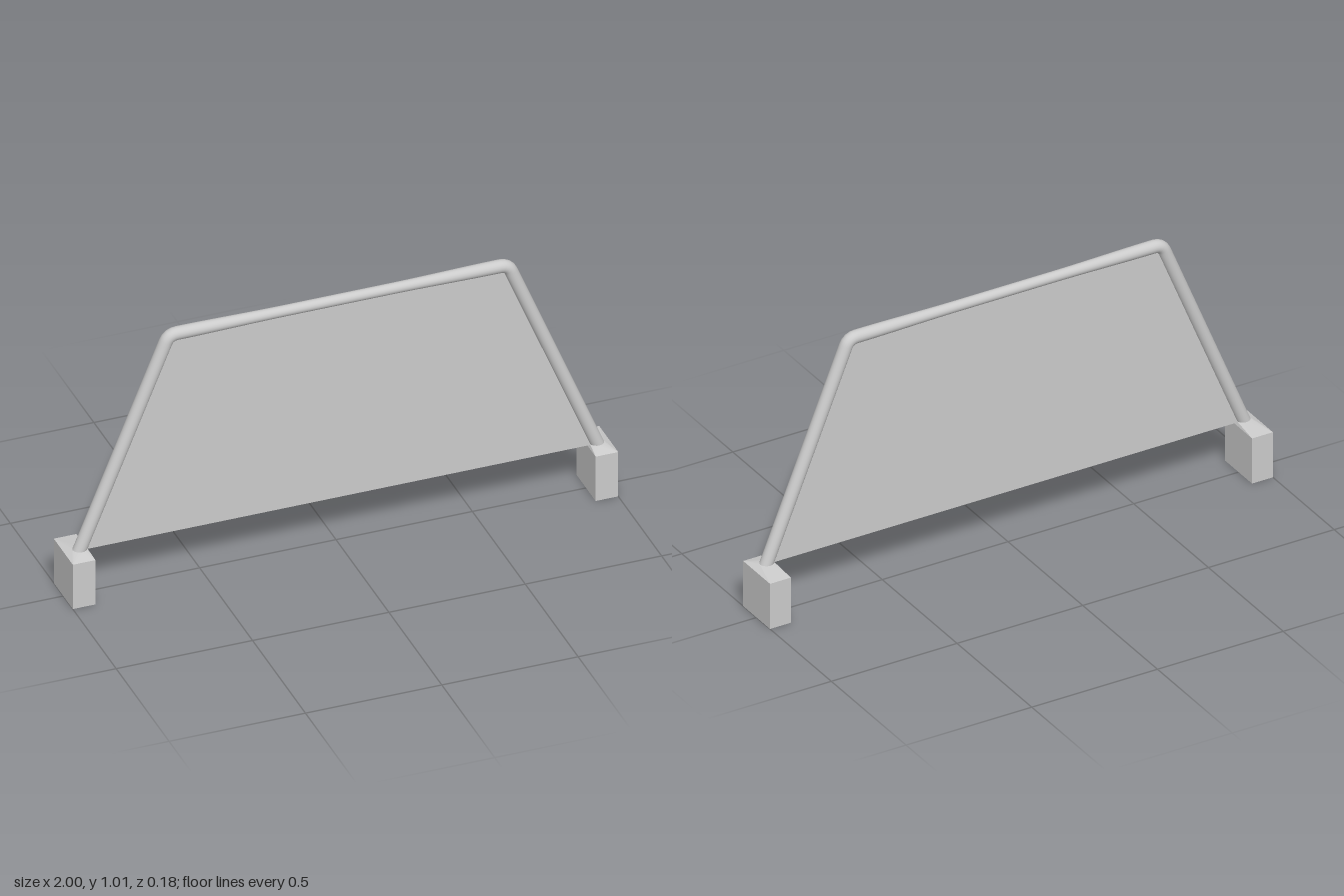
import * as THREE from 'three';
import { ConvexGeometry } from 'three/addons/geometries/ConvexGeometry.js';

const Z = 0.021; // plane of the frame and panel
const TOP = 0.982, CORNER = 0.622, FOOT = 0.952, BASE = 0.18;

const material = (opts = {}) => new THREE.MeshStandardMaterial({ color: 0xcccccc, ...opts });

function addMesh(group, name, geometry, mat) {
  const mesh = new THREE.Mesh(geometry, mat);
  mesh.name = name;
  group.add(mesh);
  return mesh;
}

// Bent tube: two sloping legs and a top bar joined by tight bends
function frameGeometry() {
  const v = (x, y) => new THREE.Vector3(x, y, Z);
  const dx = FOOT - CORNER, dy = TOP - BASE, len = Math.hypot(dx, dy), bend = 0.03;
  const legEnd = s => v(s * (CORNER + (dx / len) * bend), TOP - (dy / len) * bend);
  const barEnd = s => v(s * (CORNER - bend), TOP);
  const path = new THREE.CurvePath();
  path.add(new THREE.LineCurve3(v(-FOOT, BASE), legEnd(-1)));
  path.add(new THREE.QuadraticBezierCurve3(legEnd(-1), v(-CORNER, TOP), barEnd(-1)));
  path.add(new THREE.LineCurve3(barEnd(-1), barEnd(1)));
  path.add(new THREE.QuadraticBezierCurve3(barEnd(1), v(CORNER, TOP), legEnd(1)));
  path.add(new THREE.LineCurve3(legEnd(1), v(FOOT, BASE)));
  const geometry = new THREE.TubeGeometry(path, 240, 0.024, 20);

  // The bar is slightly slimmer toward its middle
  const p = geometry.attributes.position;
  for (let i = 0; i < p.count; i++) {
    const x = Math.abs(p.getX(i));
    if (x > 0.59 || p.getY(i) < 0.9) continue;
    const k = 1 - 0.18 * THREE.MathUtils.smoothstep(0.59 - x, 0, 0.4);
    p.setY(i, TOP + (p.getY(i) - TOP) * k);
    p.setZ(i, Z + (p.getZ(i) - Z) * k);
  }
  return geometry;
}

// Foot block whose top rises gently to a small collar round the leg
function footGeometry(side) {
  const points = [];
  for (const x of [0.917, 1])
    for (const z of [-0.09, 0.09])
      for (const y of [0, 0.179]) points.push(new THREE.Vector3(side * x, y, z));
  for (let i = 0; i < 12; i++) {
    const a = (i / 12) * Math.PI * 2;
    points.push(new THREE.Vector3(
      side * (FOOT - 0.004 + 0.026 * Math.cos(a)), 0.191, Z + 0.024 * Math.sin(a)));
  }
  return new ConvexGeometry(points);
}

// Thin sheet filling the frame
function panelGeometry() {
  const shape = new THREE.Shape();
  shape.moveTo(-FOOT + 0.004, 0.187);
  shape.lineTo(FOOT - 0.004, 0.187);
  shape.lineTo(CORNER, TOP);
  shape.lineTo(-CORNER, TOP);
  shape.closePath();
  const depth = 0.008;
  return new THREE.ExtrudeGeometry(shape, { depth, bevelEnabled: false })
    .translate(0, 0, Z - depth / 2);
}

export function createModel() {
  const group = new THREE.Group();
  group.name = 'barrier';
  addMesh(group, 'tubeFrame', frameGeometry(), material());
  addMesh(group, 'panel', panelGeometry(), material());
  for (const [name, side] of [['leftFoot', 1], ['rightFoot', -1]])
    addMesh(group, name, footGeometry(side), material({ flatShading: true }));
  return group;
}
